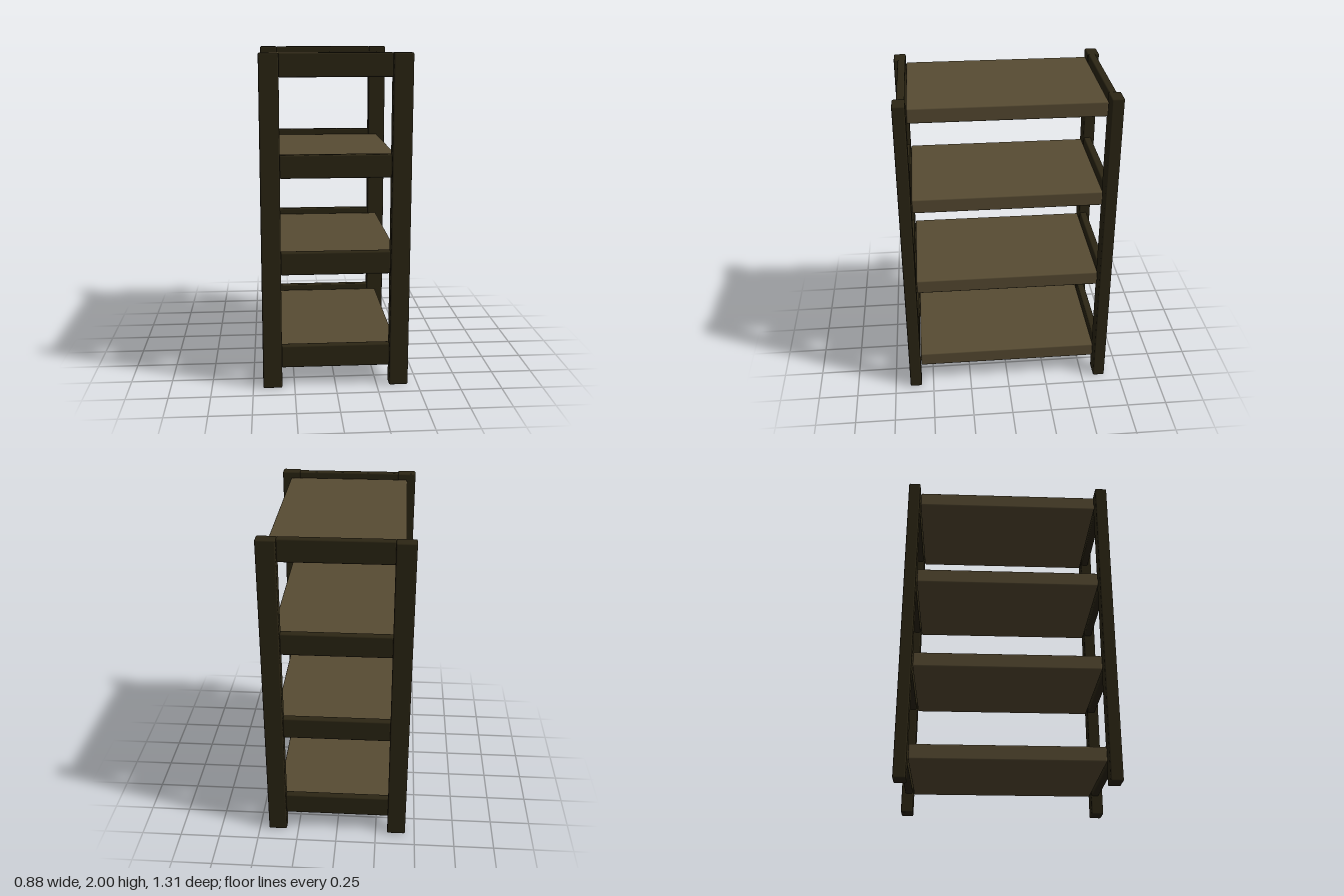
import * as THREE from 'three';
import { RoundedBoxGeometry } from 'three/addons/geometries/RoundedBoxGeometry.js';

const frameMaterial = new THREE.MeshStandardMaterial({ color: 0x2c2614 });
const shelfMaterial = new THREE.MeshStandardMaterial({ color: 0x584c33 });

// Board with slightly eased edges, placed by its centre
function board(name, size, position, material) {
  const mesh = new THREE.Mesh(new RoundedBoxGeometry(...size, 2, 0.009), material);
  mesh.name = name;
  mesh.position.set(...position);
  return mesh;
}

export function createModel() {
  const model = new THREE.Group();
  model.name = 'shelvingUnit';

  // Four upright corner posts
  for (const [zName, zs] of [['front', 1], ['back', -1]]) {
    for (const [xName, xs] of [['Left', 1], ['Right', -1]]) {
      model.add(board(`${zName}${xName}Post`, [0.115, 2, 0.075],
        [xs * 0.3825, 1, zs * 0.6155], frameMaterial));
    }
  }

  // Four levels: one shelf with a rail at each end
  for (let i = 0; i < 4; i++) {
    const bottom = 0.12 + i * 0.5807;
    const level = new THREE.Group();
    level.name = `level${i + 1}`;
    level.add(board('shelf', [0.768, 0.092, 1.15], [0, bottom + 0.055, 0], shelfMaterial));
    for (const [name, zs] of [['frontRail', 1], ['backRail', -1]]) {
      level.add(board(name, [0.656, 0.138, 0.047], [0, bottom + 0.069, zs * 0.605], frameMaterial));
    }
    model.add(level);
  }
  return model;
}
